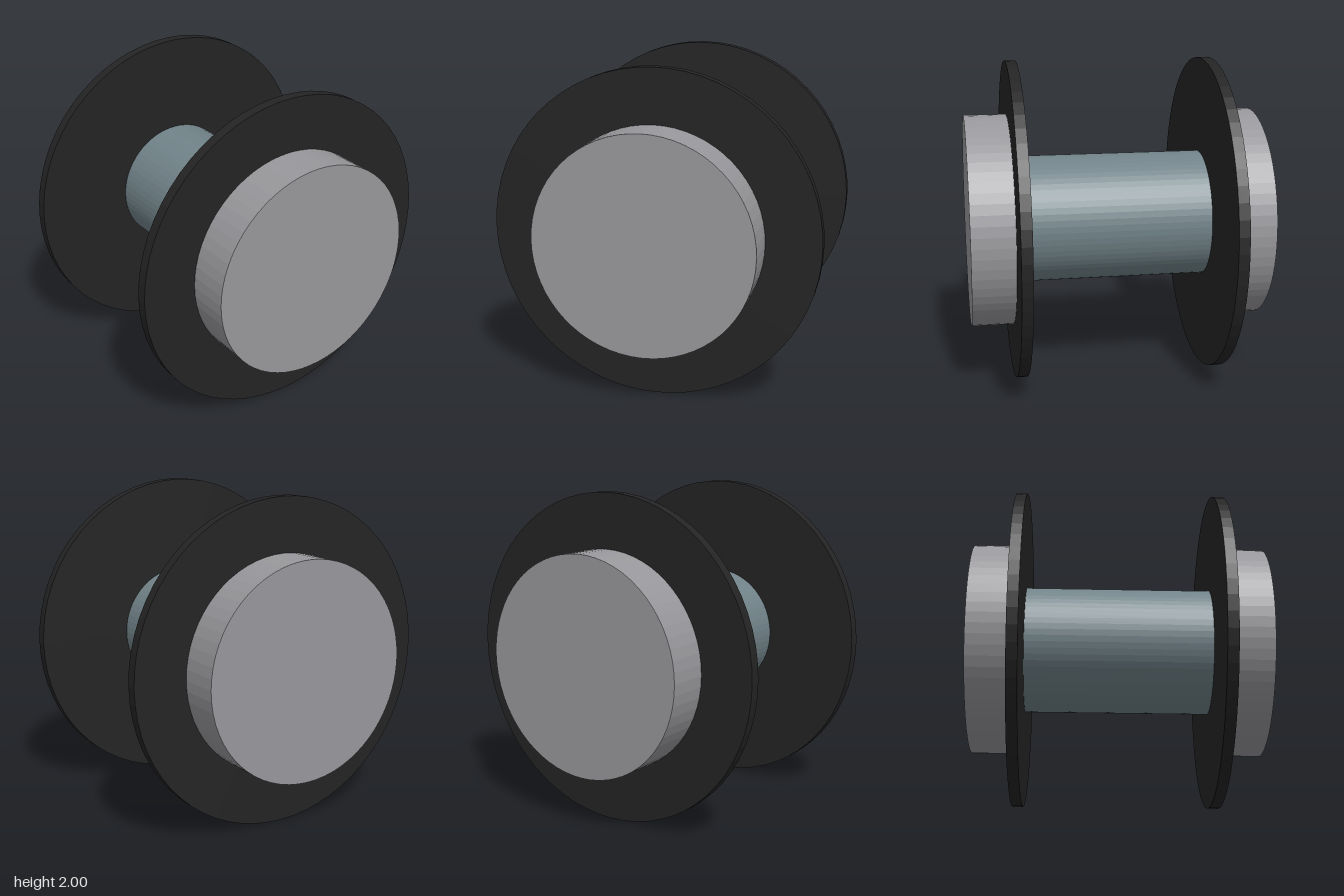
import * as THREE from 'three';

export function createModel() {
  const model = new THREE.Group();
  model.name = 'spool';

  const material = (name, color) => {
    const m = new THREE.MeshStandardMaterial({ color, flatShading: true });
    m.name = name;
    return m;
  };
  const slate = material('slateBlue', 0x718389);
  const black = material('black', 0x242424);
  const grey = material('grey', 0x98979b);

  // A disc or drum lying along x, between x0 and x1
  const addDisc = (name, radius, x0, x1, mat) => {
    const geometry = new THREE.CylinderGeometry(radius, radius, x1 - x0, 64);
    geometry.rotateZ(Math.PI / 2);
    const mesh = new THREE.Mesh(geometry, mat);
    mesh.name = name;
    mesh.position.set((x0 + x1) / 2, 1, 0);
    model.add(mesh);
  };

  // Central drum
  addDisc('drum', 0.4, -0.583, 0.583, slate);

  // Flange and outer hub on each side
  addDisc('leftFlange', 1, 0.583, 0.65, black);
  addDisc('rightFlange', 1, -0.65, -0.583, black);
  addDisc('leftHub', 0.667, 0.65, 0.915, grey);
  addDisc('rightHub', 0.667, -0.915, -0.65, grey);

  return model;
}
